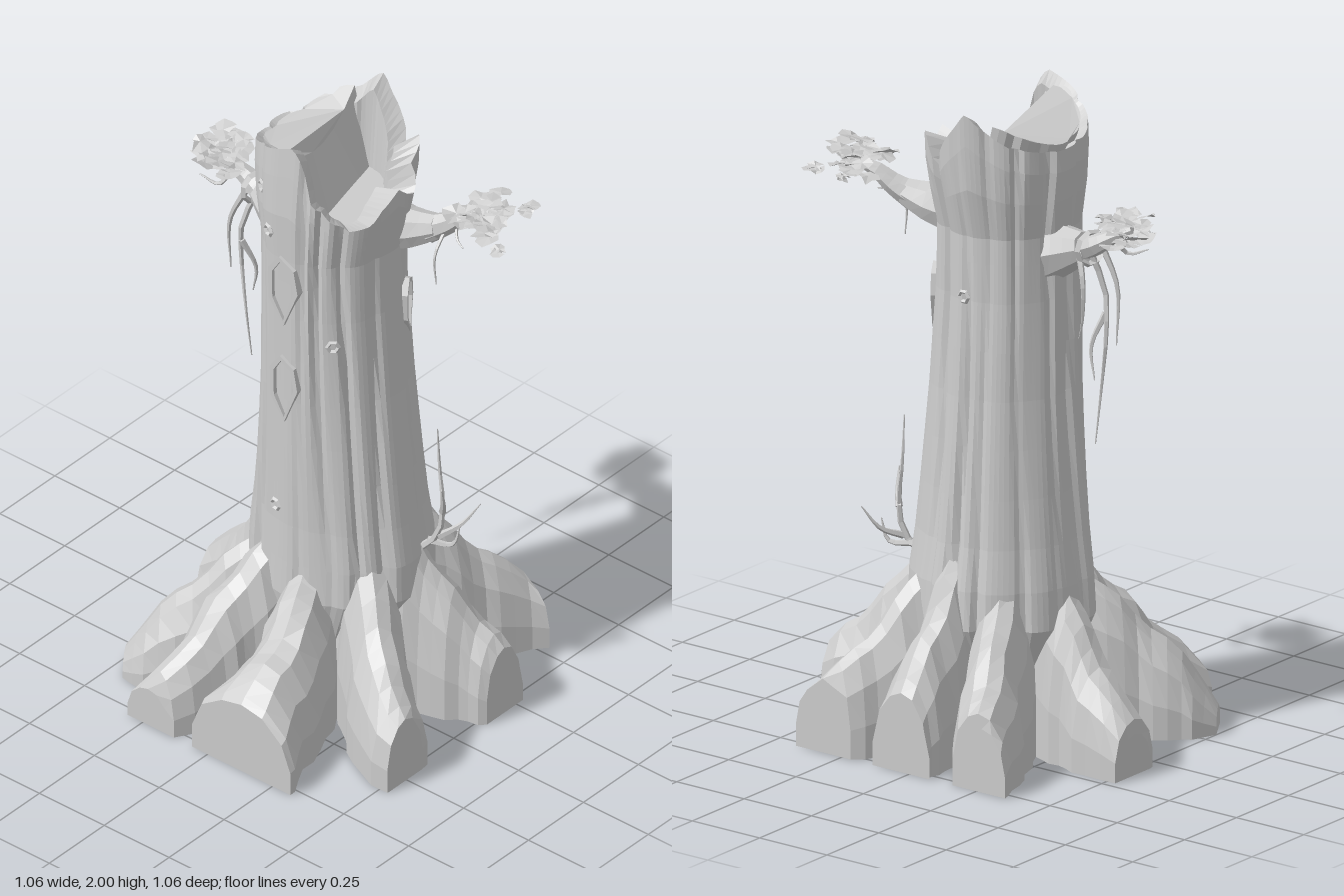
import * as THREE from 'three';
import { mergeGeometries } from 'three/addons/utils/BufferGeometryUtils.js';

const bark = new THREE.MeshStandardMaterial({ color: 0xcccccc, side: THREE.DoubleSide });
bark.name = 'pale grey bark';

const V = (x, y, z) => new THREE.Vector3(x, y, z);
const rad = THREE.MathUtils.degToRad;
let seed = 7;
const rnd = () => (seed = (seed * 16807) % 2147483647) / 2147483647;
const spread = (a) => (rnd() * 2 - 1) * a;

// Piecewise linear lookup in rows of [key, ...values]
function lookup(rows, k) {
  let i = 0;
  while (i < rows.length - 2 && k > rows[i + 1][0]) i++;
  const t = THREE.MathUtils.clamp((k - rows[i][0]) / (rows[i + 1][0] - rows[i][0]), 0, 1);
  return rows[i].slice(1).map((v, j) => v + (rows[i + 1][j + 1] - v) * t);
}

function faceted(geo) {
  const g = geo.index ? geo.toNonIndexed() : geo;
  g.computeVertexNormals();
  return g;
}

// Skin over closed rings of points, with both ends capped
function loft(rings) {
  const n = rings[0].length, pos = [];
  const tri = (...p) => p.forEach((q) => pos.push(q.x, q.y, q.z));
  for (let i = 0; i < rings.length - 1; i++) for (let j = 0; j < n; j++) {
    const k = (j + 1) % n, a = rings[i], b = rings[i + 1];
    tri(a[j], b[j], b[k]);
    tri(a[j], b[k], a[k]);
  }
  for (const [ring, flip] of [[rings[0], 0], [rings[rings.length - 1], 1]]) {
    const c = ring.reduce((s, p) => s.add(p), V(0, 0, 0)).divideScalar(n);
    ring.forEach((p, j) => flip ? tri(c, ring[(j + 1) % n], p) : tri(c, p, ring[(j + 1) % n]));
  }
  const g = new THREE.BufferGeometry();
  g.setAttribute('position', new THREE.Float32BufferAttribute(pos, 3));
  return faceted(g);
}

// Tapering round limb through points
function limb(pts, r0, r1, sides = 7, steps = 8) {
  const curve = new THREE.CatmullRomCurve3(pts.map((p) => V(...p)));
  const f = curve.computeFrenetFrames(steps);
  return loft(Array.from({ length: steps + 1 }, (_, i) => {
    const c = curve.getPointAt(i / steps), r = r0 + (r1 - r0) * (i / steps);
    return Array.from({ length: sides }, (_, j) => {
      const a = -j / sides * Math.PI * 2;
      return c.clone().addScaledVector(f.normals[i], Math.cos(a) * r).addScaledVector(f.binormals[i], Math.sin(a) * r);
    });
  }));
}

// Trunk extents: y, x min, x max, z min, z max
const TRUNK = [
  [0, -0.16, 0.18, -0.22, 0.14], [0.25, -0.2, 0.22, -0.27, 0.17], [0.4, -0.27, 0.3, -0.34, 0.195], [0.5, -0.265, 0.3, -0.335, 0.19],
  [0.65, -0.245, 0.28, -0.31, 0.185], [0.85, -0.225, 0.26, -0.29, 0.185], [1.1, -0.21, 0.24, -0.27, 0.185],
  [1.4, -0.205, 0.22, -0.255, 0.185], [1.6, -0.205, 0.215, -0.255, 0.185], [1.78, -0.235, 0.245, -0.295, 0.19], [2, -0.235, 0.255, -0.305, 0.17],
];
// Height of the broken rim by angle, from +x towards +z
const RIM = [
  [0, 1.84], [12, 1.8], [24, 1.75], [40, 1.74], [58, 1.79], [70, 1.84], [80, 1.98], [86, 2], [110, 1.96], [135, 1.92],
  [160, 1.88], [200, 1.87], [230, 1.9], [250, 1.95], [262, 2], [270, 1.96], [285, 1.88], [296, 1.8], [308, 1.9],
  [316, 1.86], [330, 1.75], [345, 1.78], [360, 1.84],
];
const GROOVES = [18, 42, 60, 76, 118, 146, 172, 198, 224, 250, 270, 292, 323, 342];

function trunkPoint(deg, y, k = 1) {
  const [x0, x1, z0, z1] = lookup(TRUNK, y);
  const c = Math.cos(rad(deg)), s = Math.sin(rad(deg)), cz = -0.05;
  let m = 1 + 0.012 * Math.sin(rad(deg) * 9 + y * 2);
  GROOVES.forEach((g, i) => {
    const d = deg - g - 3 * Math.sin(y * 3 + i * 2);
    m -= (0.055 + 0.035 * Math.sin(i * 5 + y * 2.5)) * Math.exp(-((d / 3.4) ** 2));
  });
  m *= k;
  return V(c * (c < 0 ? -x0 : x1) * m, y, cz + s * (s < 0 ? cz - z0 : z1 - cz) * m);
}

function trunk() {
  const N = 100, rings = [];
  const ring = (f) => rings.push(Array.from({ length: N }, (_, j) => f(j * 360 / N)));
  const rim = (d) => lookup(RIM, d)[0];
  // Rim wall is thick on the low side
  const inner = (d) => 0.8 - 0.16 * Math.max(0, Math.cos(rad(d)));
  for (const y of [0, 0.15, 0.25, 0.33, 0.4, 0.52, 0.65, 0.8, 0.95, 1.1, 1.25, 1.4, 1.52, 1.6]) ring((d) => trunkPoint(d, y));
  for (const t of [0.4, 0.75, 1]) ring((d) => trunkPoint(d, 1.6 + (rim(d) - 1.6) * t));
  // Rim thickness and hollow floor
  ring((d) => trunkPoint(d, rim(d) - 0.03, inner(d)));
  ring((d) => trunkPoint(d, 1.74, inner(d) - 0.03).setY(1.7));
  return loft(rings);
}

// Solid half of the broken top, ending in a slanted split
function splitTop() {
  const at = (d) => trunkPoint(d, 1.85, 0.9);
  const pts = [];
  for (let d = 88; d <= 244; d += 6) pts.push(at(d));
  for (let i = 1; i < 6; i++) pts.push(at(244).lerp(at(88), i / 6));
  const shape = new THREE.Shape(pts.map((p) => new THREE.Vector2(p.x, -p.z)));
  const g = new THREE.ExtrudeGeometry(shape, { depth: 0.2, bevelEnabled: false }).rotateX(-Math.PI / 2);
  const p = g.attributes.position;
  for (let i = 0; i < p.count; i++) {
    const x = p.getX(i), z = p.getZ(i);
    if (p.getY(i) < 0.1) p.setXYZ(i, x + 0.07, 1.68, z);
    else p.setY(i, 1.88 + 2 * (z + 0.05) ** 2);
  }
  return faceted(g);
}

// Arched root; rows of [x, z, half width, height], cut off square at the base limits
const ARCH = [[-1, 0], [-1, 0.32], [-0.82, 0.68], [-0.42, 0.94], [0, 1], [0.4, 0.93], [0.8, 0.72], [1, 0.35], [1, 0]];
function root(rows, id) {
  const path = new THREE.CatmullRomCurve3(rows.map((r) => V(r[0], 0, r[1])));
  const size = new THREE.CatmullRomCurve3(rows.map((r) => V(r[2], r[3], 0)));
  const lim = (v) => THREE.MathUtils.clamp(v, -0.53, 0.53), steps = 11;
  return loft(Array.from({ length: steps + 1 }, (_, i) => {
    const t = i / steps, c = path.getPoint(t), dir = path.getTangent(t), s = size.getPoint(t);
    const w = s.x * (1 + 0.06 * Math.sin(i * 2.1 + id)), h = s.y * (1 + 0.03 * Math.sin(i * 1.7 + id * 2));
    return ARCH.map(([a, b]) => V(lim(c.x - dir.z * a * w), b * h, lim(c.z + dir.x * a * w)));
  }));
}
const ROOTS = {
  frontRoot: [[0.03, 0.04, 0.09, 0.65], [0.07, 0.18, 0.11, 0.5], [0.11, 0.3, 0.125, 0.38], [0.125, 0.43, 0.15, 0.31], [0.13, 0.56, 0.2, 0.24]],
  frontLeftRoot: [[0.1, 0, 0.09, 0.66], [0.24, 0.07, 0.1, 0.53], [0.35, 0.16, 0.1, 0.39], [0.46, 0.23, 0.1, 0.28], [0.6, 0.27, 0.07, 0.19]],
  leftRoot: [[0.1, -0.06, 0.09, 0.7], [0.25, -0.1, 0.1, 0.58], [0.36, -0.14, 0.1, 0.42], [0.46, -0.18, 0.09, 0.3], [0.6, -0.2, 0.08, 0.19]],
  backLeftRoot: [[0.06, -0.12, 0.08, 0.7], [0.15, -0.25, 0.1, 0.57], [0.21, -0.36, 0.1, 0.41], [0.27, -0.46, 0.09, 0.3], [0.35, -0.58, 0.08, 0.2]],
  backRoot: [[0.01, -0.14, 0.08, 0.74], [0.02, -0.29, 0.09, 0.62], [0.02, -0.39, 0.09, 0.46], [0.03, -0.48, 0.1, 0.33], [0.03, -0.57, 0.1, 0.2]],
  backRightRoot: [[-0.05, -0.12, 0.08, 0.7], [-0.13, -0.25, 0.1, 0.56], [-0.18, -0.36, 0.1, 0.41], [-0.23, -0.46, 0.1, 0.3], [-0.27, -0.58, 0.09, 0.2]],
  rightRoot: [[-0.1, -0.06, 0.09, 0.66], [-0.24, -0.09, 0.1, 0.53], [-0.34, -0.11, 0.1, 0.38], [-0.44, -0.13, 0.1, 0.26], [-0.58, -0.13, 0.08, 0.13]],
  frontRightSideRoot: [[-0.07, 0.02, 0.09, 0.63], [-0.2, 0.13, 0.1, 0.46], [-0.29, 0.22, 0.11, 0.34], [-0.39, 0.3, 0.115, 0.22], [-0.47, 0.35, 0.06, 0.07]],
  frontRightRoot: [[-0.05, 0.04, 0.09, 0.63], [-0.11, 0.18, 0.11, 0.49], [-0.15, 0.29, 0.11, 0.39], [-0.17, 0.4, 0.09, 0.27], [-0.23, 0.56, 0.085, 0.13]],
};

// Clump of ragged leaf pads filling an ellipsoid
function foliage(x, y, z, rx, ry, rz, n, size) {
  return mergeGeometries(Array.from({ length: n }, () => {
    const g = new THREE.CircleGeometry(size, 9).rotateX(-Math.PI / 2), p = g.attributes.position;
    for (let i = 1; i < p.count - 1; i++) {
      const m = 0.55 + rnd() * 0.75;
      p.setXYZ(i, p.getX(i) * m, spread(0.008), p.getZ(i) * m);
    }
    p.setXYZ(p.count - 1, p.getX(1), p.getY(1), p.getZ(1));
    const a = rnd() * Math.PI * 2, r = Math.sqrt(rnd());
    g.rotateX(spread(0.3)).rotateZ(spread(0.3));
    g.translate(x + Math.cos(a) * r * rx, y + spread(ry), z + Math.sin(a) * r * rz);
    return faceted(g);
  }));
}

// Lip around a diamond-shaped hollow
function diamond(w, h) {
  const outline = (k) => [[-0.2, 1], [0.75, 0.75], [1, 0.1], [0.1, -1], [-0.85, -0.35], [-0.9, 0.55]]
    .map(([a, b]) => new THREE.Vector2(a * w * k, b * h * (k * 0.5 + 0.5)));
  const s = new THREE.Shape(outline(1));
  s.holes.push(new THREE.Path(outline(0.72)));
  return faceted(new THREE.ExtrudeGeometry(s, { depth: 0.035, bevelEnabled: false }).translate(0, 0, -0.025));
}

export function createModel() {
  const model = new THREE.Group();
  model.name = 'hollowTreeStump';
  const add = (name, geo) => {
    const m = new THREE.Mesh(geo, bark);
    m.name = name;
    model.add(m);
    return m;
  };
  add('trunk', trunk());
  add('splitTop', splitTop());
  Object.entries(ROOTS).forEach(([name, rows], i) => add(name, root(rows, i)));

  // Bark hollows and knots, set on the trunk surface
  const onTrunk = (name, geo, deg, y) => {
    const m = add(name, geo);
    m.position.copy(trunkPoint(deg, y));
    m.rotation.y = Math.PI / 2 - rad(deg);
  };
  onTrunk('upperHollow', diamond(0.06, 0.12), 90, 1.49);
  onTrunk('lowerHollow', diamond(0.055, 0.115), 89, 1.14);
  onTrunk('backHollow', diamond(0.045, 0.1), 331, 1.35);
  for (const [deg, y] of [[119, 1.8], [106, 1.68], [50, 1.32], [98, 0.7], [272, 1.41]])
    onTrunk('knot', faceted(new THREE.TorusGeometry(0.017, 0.007, 4, 6)), deg, y);

  // Right branch with hanging vines
  add('rightBranchStump', limb([[-0.14, 1.53, -0.05], [-0.21, 1.55, -0.055], [-0.3, 1.58, -0.07]], 0.1, 0.045, 8, 4));
  add('rightBranch', limb([[-0.26, 1.565, -0.06], [-0.33, 1.59, -0.07], [-0.4, 1.63, -0.06], [-0.46, 1.66, -0.05]], 0.045, 0.012));
  add('rightFoliage', foliage(-0.435, 1.66, -0.05, 0.065, 0.04, 0.075, 32, 0.036));
  add('rightVines', mergeGeometries([
    [[-0.31, 1.58, -0.07], [-0.35, 1.45, -0.04], [-0.37, 1.32, -0.06], [-0.345, 1.15, -0.05], [-0.33, 0.97, -0.06]],
    [[-0.3, 1.57, -0.1], [-0.33, 1.48, -0.12], [-0.32, 1.36, -0.11], [-0.3, 1.3, -0.1]],
    [[-0.33, 1.58, -0.03], [-0.38, 1.46, -0.02], [-0.385, 1.28, -0.03]],
    [[-0.36, 1.38, -0.05], [-0.33, 1.28, -0.08], [-0.35, 1.18, -0.09]],
    [[-0.4, 1.63, -0.06], [-0.42, 1.57, -0.02], [-0.48, 1.59, 0]],
  ].map((p) => limb(p, 0.011, 0.002, 5))));
  add('vineWrap', faceted(new THREE.TorusGeometry(0.05, 0.009, 4, 9).scale(1, 1, 1.3).rotateY(1.3).translate(-0.32, 1.58, -0.07)));

  // Left branch, with a stray tuft below
  add('leftBranchStump', limb([[0.14, 1.63, -0.13], [0.21, 1.635, -0.15], [0.29, 1.66, -0.175]], 0.085, 0.04, 8, 4));
  add('leftBranch', limb([[0.26, 1.645, -0.165], [0.32, 1.68, -0.19], [0.37, 1.72, -0.21], [0.44, 1.74, -0.23]], 0.045, 0.012));
  add('leftFoliage', mergeGeometries([
    foliage(0.415, 1.735, -0.21, 0.085, 0.03, 0.075, 34, 0.036), foliage(0.45, 1.775, -0.23, 0.045, 0.025, 0.06, 12, 0.034),
    foliage(0.5, 1.73, -0.345, 0.006, 0.008, 0.035, 4, 0.026),
  ]));
  add('strayTuft', foliage(0.505, 1.66, -0.2, 0.006, 0.014, 0.012, 3, 0.022));
  add('leftVines', mergeGeometries([
    limb([[0.32, 1.67, -0.18], [0.325, 1.6, -0.12], [0.33, 1.5, -0.12]], 0.007, 0.002, 5),
    limb([[0.34, 1.69, -0.2], [0.37, 1.65, -0.17], [0.4, 1.64, -0.16]], 0.007, 0.002, 5),
  ]));

  // Twig sprouting from the left flank
  add('sideTwig', mergeGeometries([
    [[0.27, 0.52, -0.12], [0.32, 0.58, -0.14], [0.33, 0.68, -0.15], [0.31, 0.8, -0.16], [0.31, 0.95, -0.15]],
    [[0.32, 0.57, -0.14], [0.36, 0.6, -0.2], [0.4, 0.67, -0.24]],
    [[0.33, 0.66, -0.15], [0.35, 0.71, -0.13], [0.36, 0.77, -0.11]],
    [[0.29, 0.55, -0.13], [0.36, 0.55, -0.16], [0.38, 0.62, -0.17]],
  ].map((p) => limb(p, 0.012, 0.002, 5))));
  return model;
}
